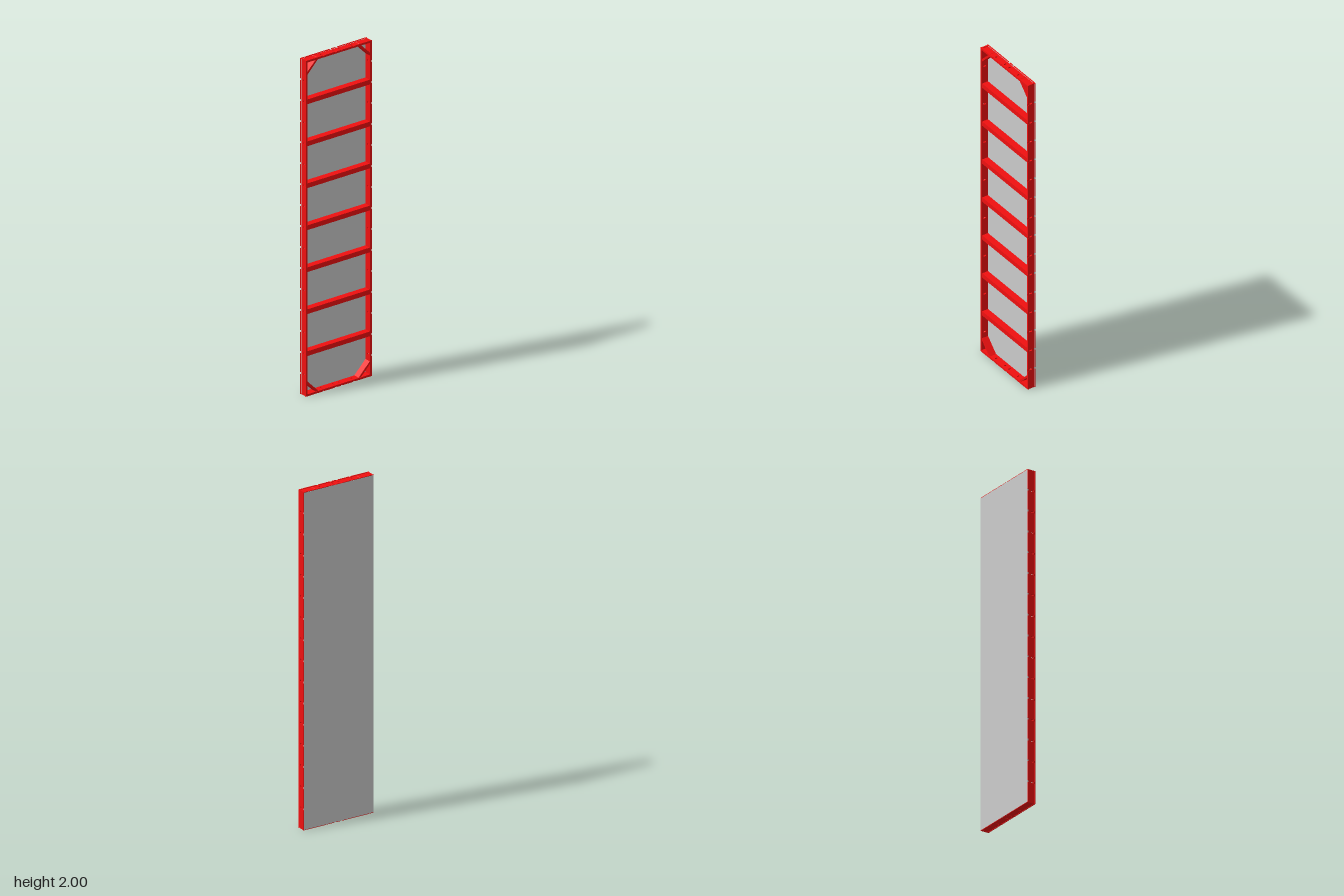
import * as THREE from 'three';

const red = new THREE.MeshStandardMaterial({ color: 0xf01010 });
const grey = new THREE.MeshStandardMaterial({ color: 0xcccccc });

const W = 0.2285, H = 2, D = 0.0255;      // half width, height, half depth
const LIP = 0.003, WALL = 0.012, LIP_D = 0.005;

function box(name, w, h, d, x, y, z, material = red) {
  const mesh = new THREE.Mesh(new THREE.BoxGeometry(w, h, d), material);
  mesh.name = name;
  mesh.position.set(x, y, z);
  return mesh;
}

function rectPath(x, y, w, h, PathType = THREE.Path) {
  return new PathType([
    [x - w / 2, y - h / 2], [x + w / 2, y - h / 2],
    [x + w / 2, y + h / 2], [x - w / 2, y + h / 2],
  ].map(([a, b]) => new THREE.Vector2(a, b)));
}

// Lip along the rail edge, broken by notches
function addLip(rail, name, length, notches, z) {
  const gap = 0.012;
  let start = -length / 2;
  for (const n of [...notches, length / 2 + gap / 2]) {
    const end = n - gap / 2;
    rail.add(box(name, end - start, LIP, LIP_D, (start + end) / 2, -LIP / 2, z));
    start = n + gap / 2;
  }
}

// Rail along x, outer side at y = 0, with slots through its web
function makeRail(name, length, slots, backNotches) {
  const rail = new THREE.Group();
  rail.name = name;
  const shape = rectPath(0, 0, length, 2 * D, THREE.Shape);
  for (const s of slots) shape.holes.push(rectPath(s, -0.004, 0.008, 0.016));
  const geometry = new THREE.ExtrudeGeometry(shape, { depth: WALL - LIP, bevelEnabled: false });
  geometry.rotateX(-Math.PI / 2).translate(0, -WALL, 0);
  const web = new THREE.Mesh(geometry, red);
  web.name = 'slottedWeb';
  rail.add(web);
  addLip(rail, 'frontLip', length, slots, D - LIP_D / 2);
  addLip(rail, 'backLip', length, backNotches, -D + LIP_D / 2);
  return rail;
}

export function createModel() {
  const model = new THREE.Group();
  model.name = 'formworkPanel';

  // Facing sheet set in the back of the frame
  model.add(box('facingSheet', 2 * (W - LIP), H - 2 * LIP, 0.008, 0, H / 2, -D + 0.0037, grey));

  // Outer frame
  const sideSlots = Array.from({ length: 15 }, (_, i) => (i - 7) * 0.125);
  const endSlots = [-0.105, -0.02, 0.02, 0.105];
  for (const s of [-1, 1]) {
    const side = makeRail(s > 0 ? 'leftRail' : 'rightRail', H, sideSlots, sideSlots);
    side.rotation.z = -s * Math.PI / 2;
    side.position.set(s * W, H / 2, 0);
    const end = makeRail(s > 0 ? 'topRail' : 'bottomRail', 2 * (W - LIP), endSlots, [-0.02, 0.02]);
    end.rotation.z = s > 0 ? 0 : Math.PI;
    end.position.y = s > 0 ? H : 0;
    model.add(side, end);
  }

  // Hollow cross ribs
  const ribLength = 2 * (W - WALL), ribDepth = 0.039;
  const section = rectPath(0, 0, ribDepth, 0.028, THREE.Shape);
  section.holes.push(rectPath(0, 0, ribDepth - 0.008, 0.02));
  const ribGeometry = new THREE.ExtrudeGeometry(section, { depth: ribLength, bevelEnabled: false });
  ribGeometry.translate(0, 0, -ribLength / 2).rotateY(Math.PI / 2);
  for (let i = 1; i < 8; i++) {
    const rib = new THREE.Mesh(ribGeometry, red);
    rib.name = 'crossRib';
    rib.position.set(0, i * 0.25 + 0.002, 0.002);
    model.add(rib);
  }

  // Diagonal corner braces
  for (const sx of [-1, 1]) {
    for (const sy of [-1, 1]) {
      const brace = box('cornerBrace', 0.112, 0.012, ribDepth, sx * 0.181, H / 2 + sy * 0.955, 0.002);
      brace.rotation.z = -sx * sy * Math.PI / 4;
      model.add(brace);
    }
  }
  return model;
}
